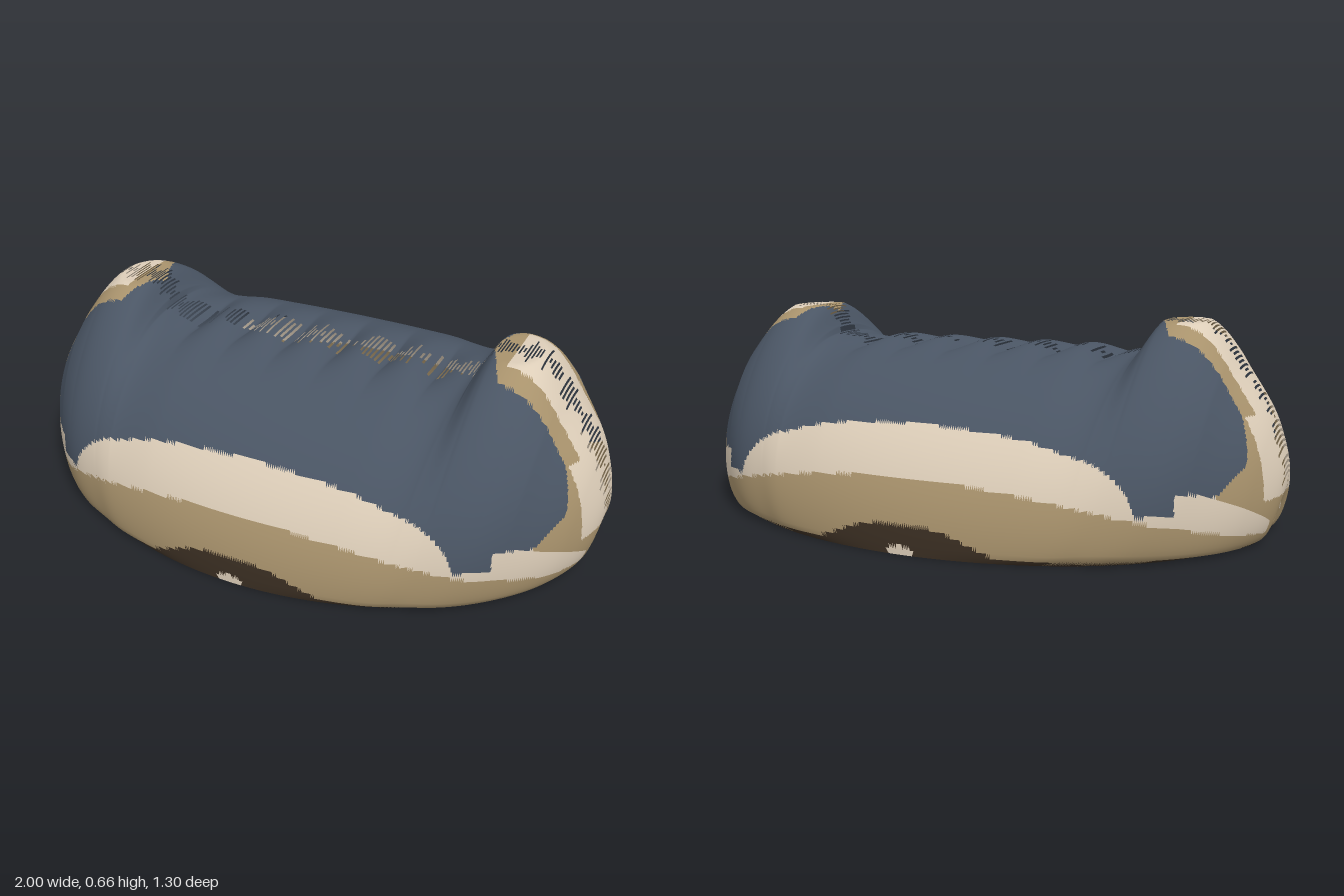
import * as THREE from 'three';

const COLS = 450, ROWS = 112;

const paint = (name, color) => {
  const m = new THREE.MeshStandardMaterial({ color, side: THREE.DoubleSide });
  m.name = name;
  return m;
};

// Spine over the shell: x, y and the angle of the matching rim point
const half = [
  [0.91, 0, 0], [1, 0.17, 0.15], [0.96, 0.36, 0.4], [0.86, 0.52, 0.65], [0.75, 0.66, 0.88],
  [0.62, 0.67, 1.02], [0.53, 0.565, 1.14], [0.35, 0.57, 1.29], [0.18, 0.57, 1.43],
];
const spine = new THREE.CatmullRomCurve3([
  ...half.map(([x, y, a]) => new THREE.Vector3(x, y, a)),
  new THREE.Vector3(0, 0.57, Math.PI / 2),
  ...half.slice().reverse().map(([x, y, a]) => new THREE.Vector3(-x, y, Math.PI - a)),
], false, 'catmullrom', 0.5);

// Point on the shell: u runs from left to right, t across from back rim to front rim
function shellPoint(s, t) {
  const c = Math.max(0, Math.cos(t));
  const rimX = 0.91 * Math.cos(s.z), rimZ = 0.65 * Math.sin(s.z);
  const x = rimX + (s.x - rimX) * Math.pow(c, 0.3);
  const z = rimZ * Math.sin(t);
  const horn = THREE.MathUtils.clamp((s.y - 0.57) / 0.09, 0, 1);
  let y = s.y * c - 0.04 * horn * Math.sin(2 * t) ** 2;
  // scalloped ridge between the two raised ends
  if (Math.abs(s.x) < 0.56) {
    y -= 0.04 * (1 - Math.abs(Math.cos(Math.PI * s.x / 0.17))) * Math.exp(-((z / 0.15) ** 2));
  }
  return [x, THREE.MathUtils.clamp(y, 0, 0.66), z];
}

// Colour zones: 0 slate, 1 cream, 2 tan, 3 dark brown
function zone(px, y, pz) {
  const x = Math.abs(px), z = Math.abs(pz);
  if ((x / 0.045) ** 2 + ((y - 0.012) / 0.015) ** 2 < 1) return 1;
  if (y < Math.max(0.011, 0.09 * Math.exp(-((x / 0.25) ** 3)))) return 3;
  const inner = 0.18 + Math.max(0, 0.4 - y) * 0.35;
  const middle = x < 0.59 + 0.4 * z;
  const above = y > 0.44 - 0.75 * z && y > 0.19 + 0.24 * (z - 0.33);
  if (z < 0.5 && y > 0.15 && (middle || (z > inner && above))) return 0;
  if (z < (y > 0.4 ? 0.12 : 0.17) && y > 0.15 && x > 0.67) return 1;
  const upper = z > 0.33 ? 1 : 0.07 + 0.5 * (z - 0.1);
  if (z > 0.12 && y > 0.22 - 0.19 * x * x && y < upper) return 1;
  return 2;
}

export function createModel() {
  const group = new THREE.Group();
  group.name = 'openShell';
  const materials = [
    paint('slate', 0x4a5564), paint('cream', 0xdccdb8),
    paint('tan', 0xa8926c), paint('darkBrown', 0x3a2e22),
  ];

  const pos = [];
  for (let i = 0; i <= COLS; i++) {
    const s = spine.getPoint(i / COLS);
    for (let j = 0; j <= ROWS; j++) pos.push(...shellPoint(s, (j / ROWS - 0.5) * Math.PI));
  }

  let seed = 7;
  const rand = () => (seed = (seed * 16807) % 2147483647) / 2147483647;
  const faces = [[], [], [], []];
  const addFace = (...ids) => {
    const mid = [0, 1, 2].map(k => ids.reduce((sum, id) => sum + pos[id * 3 + k], 0) / 3);
    faces[zone(...mid)].push(...ids);
  };
  for (let i = 0; i < COLS; i++) {
    // fine slits across the centre line
    const slit = i % 2 ? 0.075 * rand() : 0;
    for (let j = 0; j < ROWS; j++) {
      const a = i * (ROWS + 1) + j, b = a + ROWS + 1;
      if (Math.abs(pos[a * 3 + 2] + pos[b * 3 + 5]) / 2 < slit) continue;
      addFace(a, b, a + 1);
      addFace(b, b + 1, a + 1);
    }
  }

  const geo = new THREE.BufferGeometry();
  geo.setAttribute('position', new THREE.Float32BufferAttribute(pos, 3));
  geo.setIndex(faces.flat());
  let start = 0;
  faces.forEach((f, k) => {
    geo.addGroup(start, f.length, k);
    start += f.length;
  });
  geo.computeVertexNormals();

  const shell = new THREE.Mesh(geo, materials);
  shell.name = 'bandedShell';
  group.add(shell);
  return group;
}
